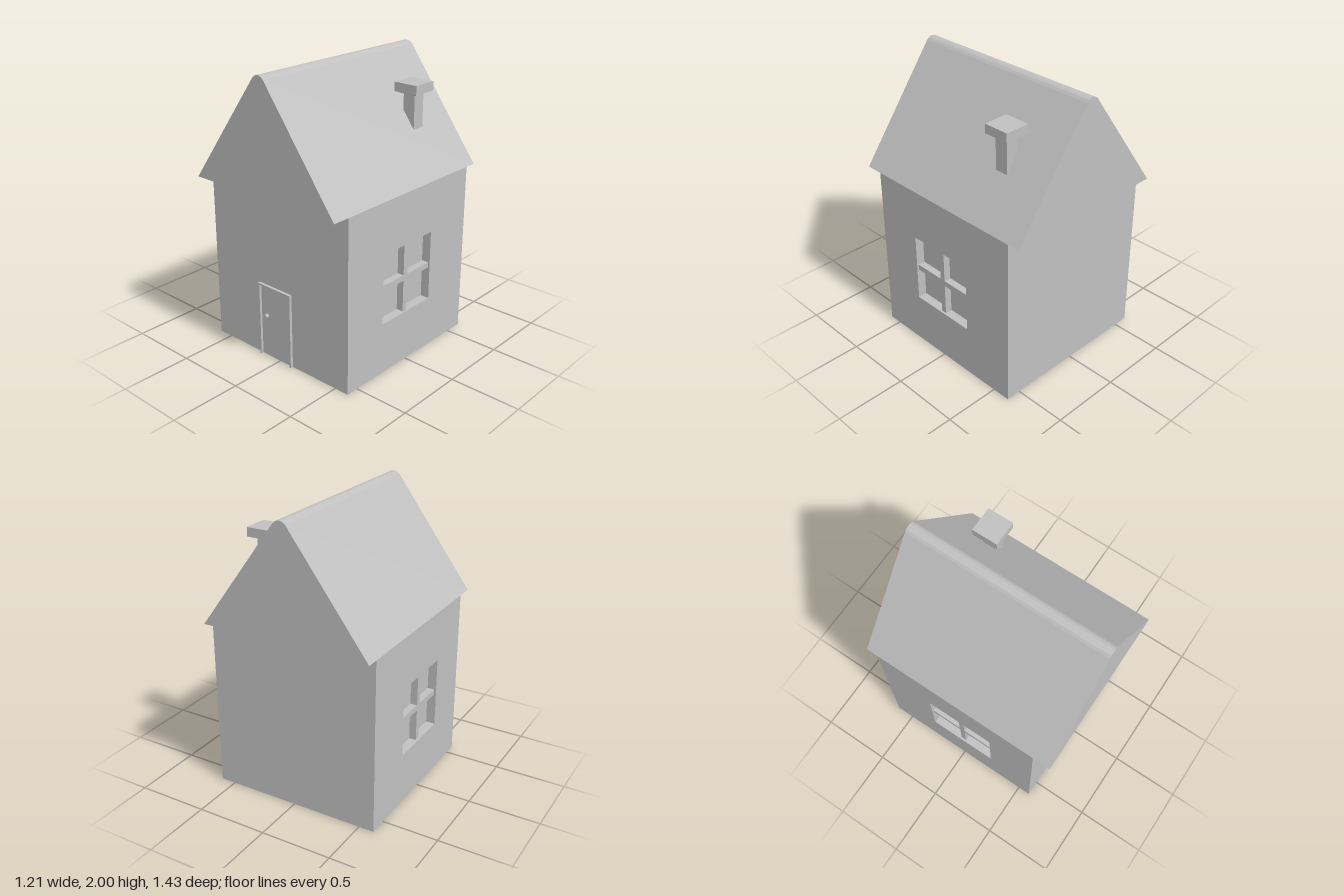
import * as THREE from 'three';

const grey = new THREE.MeshStandardMaterial({ color: 0xc0c0c0 });
grey.name = 'light grey';
const greyShell = new THREE.MeshStandardMaterial({ color: 0xc0c0c0, side: THREE.DoubleSide });
greyShell.name = 'light grey shell';

const HALF_W = 0.607, EAVES = 1.22, BACK = -0.63, FRONT = 0.59, ROOF_Z = 0.715;
const RECESS = 0.064;
const WIN = { z0: -0.245, z1: 0.25, y0: 0.365, y1: 0.86 };

function add(parent, name, geometry, material = grey) {
  const mesh = new THREE.Mesh(geometry, material);
  mesh.name = name;
  parent.add(mesh);
  return mesh;
}

// Box given by its lower and upper corners
function box(parent, name, [x0, y0, z0], [x1, y1, z1]) {
  const g = new THREE.BoxGeometry(x1 - x0, y1 - y0, z1 - z0);
  g.translate((x0 + x1) / 2, (y0 + y1) / 2, (z0 + z1) / 2);
  return add(parent, name, g);
}

function rectangle(path, x0, y0, x1, y1) {
  path.moveTo(x0, y0).lineTo(x1, y0).lineTo(x1, y1).lineTo(x0, y1).closePath();
  return path;
}

function buildWalls(house) {
  const inner = HALF_W - RECESS;
  box(house, 'houseCore', [-inner, 0, BACK], [inner, EAVES, FRONT]);

  // Side walls with a window opening; the core forms the panes behind
  const outline = rectangle(new THREE.Shape(), BACK, 0, FRONT, EAVES);
  outline.holes.push(rectangle(new THREE.Path(), WIN.z0, WIN.y0, WIN.z1, WIN.y1));
  const zc = (WIN.z0 + WIN.z1) / 2, yc = (WIN.y0 + WIN.y1) / 2, bar = 0.02;
  for (const [side, s] of [['left', 1], ['right', -1]]) {
    const wall = new THREE.ExtrudeGeometry(outline, { depth: RECESS, bevelEnabled: false });
    wall.rotateY(-Math.PI / 2);
    wall.translate(s > 0 ? HALF_W : -inner, 0, 0);
    add(house, side + 'Wall', wall);

    // Crossed glazing bars, set slightly back from the wall face
    const x0 = s > 0 ? inner : -inner - 0.05, x1 = x0 + 0.05;
    box(house, side + 'WindowUpright', [x0, WIN.y0, zc - bar], [x1, WIN.y1, zc + bar]);
    box(house, side + 'WindowCrossbar', [x0, yc - bar, WIN.z0], [x1, yc + bar, WIN.z1]);
  }
}

function buildRoof(house) {
  // Gable profile: straight slopes joined by a small rounded ridge
  const r = 0.056, lean = 0.932, steps = 5;
  const profile = [new THREE.Vector2(-HALF_W, EAVES)];
  for (let i = 0; i <= steps; i++) {
    const a = -lean + (2 * lean * i) / steps;
    profile.push(new THREE.Vector2(r * Math.sin(a), 2 - r + r * Math.cos(a)));
  }
  profile.push(new THREE.Vector2(HALF_W, EAVES));

  // Sheet bent over the profile, open underneath
  const sheet = new THREE.PlaneGeometry(1, 1, profile.length - 1, 1);
  const pos = sheet.attributes.position;
  for (let i = 0; i < pos.count; i++) {
    const p = profile[i % profile.length];
    pos.setXYZ(i, p.x, p.y, i < profile.length ? -ROOF_Z : ROOF_Z);
  }
  const slopes = sheet.toNonIndexed();
  slopes.computeVertexNormals();
  add(house, 'roofSlopes', slopes, greyShell);

  // Gable ends
  const gable = new THREE.ShapeGeometry(new THREE.Shape(profile));
  add(house, 'frontGable', gable, greyShell).position.z = ROOF_Z;
  const back = add(house, 'backGable', gable, greyShell);
  back.rotation.y = Math.PI;
  back.position.z = -ROOF_Z;
}

function buildChimney(house) {
  const chimney = new THREE.Group();
  chimney.name = 'chimney';
  chimney.position.set(0.345, 0, -0.353);
  house.add(chimney);
  box(chimney, 'chimneyStack', [-0.045, 1.46, -0.047], [0.045, 1.75, 0.047]);
  const flare = new THREE.CylinderGeometry(0.09 * Math.SQRT2, 0.047 * Math.SQRT2, 0.017, 4, 1);
  flare.rotateY(Math.PI / 4);
  flare.translate(0, 1.7515, 0);
  const flat = flare.toNonIndexed();
  flat.computeVertexNormals();
  add(chimney, 'chimneyFlare', flat);
  box(chimney, 'chimneyCap', [-0.09, 1.76, -0.092], [0.09, 1.823, 0.092]);
}

function buildDoor(house) {
  const x0 = -0.18, x1 = 0.117, top = 0.54, w = 0.014, z = 0.61;
  box(house, 'door', [x0 + w, 0, FRONT - 0.005], [x1 - w, top - w, FRONT + 0.002]);
  box(house, 'doorPostRight', [x0, 0, FRONT - 0.01], [x0 + w, top, z]);
  box(house, 'doorPostLeft', [x1 - w, 0, FRONT - 0.01], [x1, top, z]);
  box(house, 'doorLintel', [x0 + w, top - w, FRONT - 0.01], [x1 - w, top, z]);
  add(house, 'doorKnob', new THREE.SphereGeometry(0.016, 16, 12)).position.set(-0.115, 0.305, 0.596);
}

export function createModel() {
  const house = new THREE.Group();
  house.name = 'house';
  buildWalls(house);
  buildRoof(house);
  buildChimney(house);
  buildDoor(house);
  return house;
}
